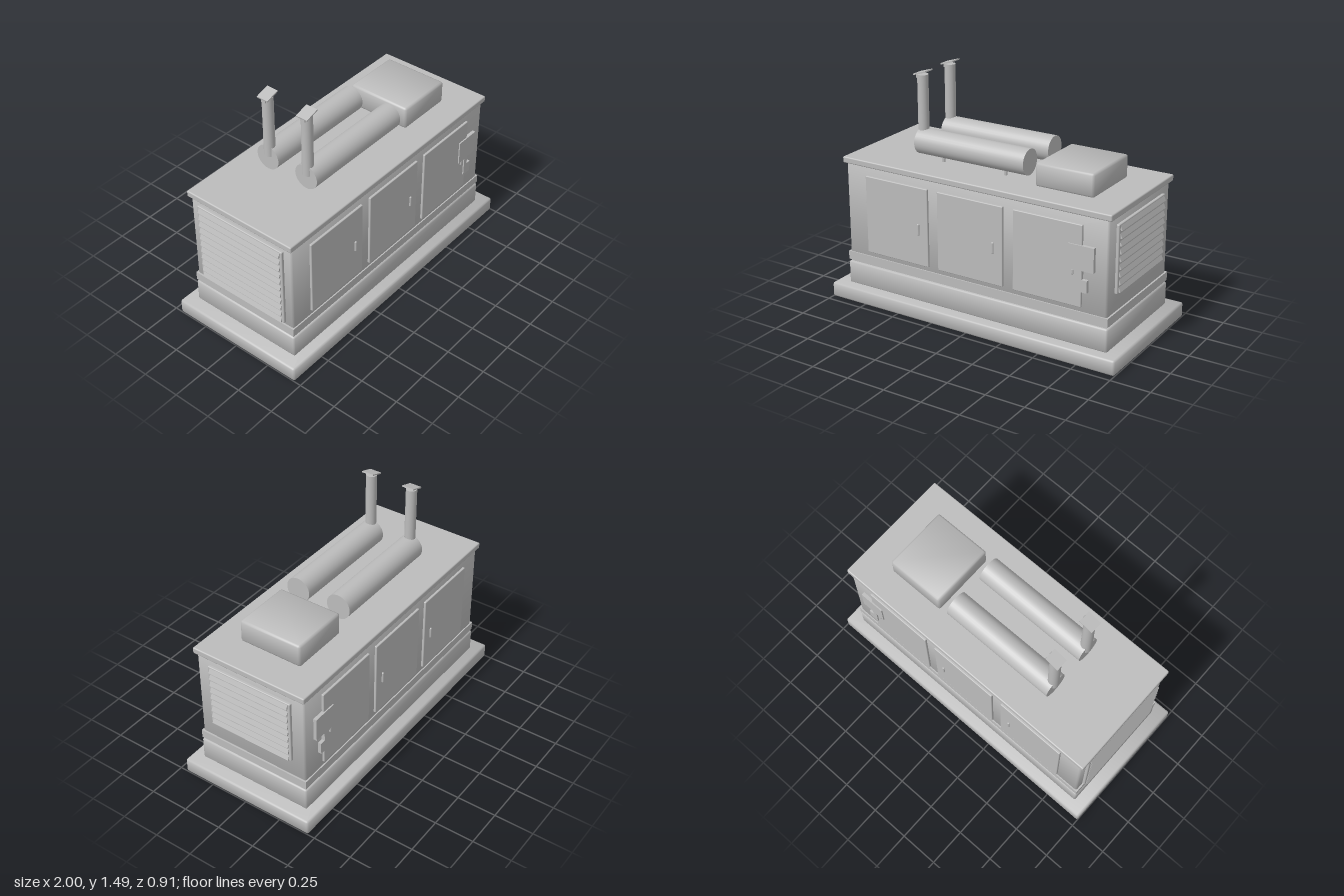
import * as THREE from 'three';
import { RoundedBoxGeometry } from 'three/addons/geometries/RoundedBoxGeometry.js';

export function createModel() {
  const model = new THREE.Group();
  model.name = 'generator';
  const paint = new THREE.MeshStandardMaterial({ color: 0xbcbcbc });
  paint.name = 'grey paint';

  function add(name, geometry, x = 0, y = 0, z = 0, parent = model) {
    const mesh = new THREE.Mesh(geometry, paint);
    mesh.name = name;
    mesh.position.set(x, y, z);
    parent.add(mesh);
    return mesh;
  }

  // Box given by its limits on each axis
  function box(name, x0, x1, y0, y1, z0, z1, parent = model) {
    return add(name, new THREE.BoxGeometry(x1 - x0, y1 - y0, z1 - z0),
      (x0 + x1) / 2, (y0 + y1) / 2, (z0 + z1) / 2, parent);
  }

  // Bevelled box whose normals lean outward at the corners, for soft shading
  function softBox(name, x0, x1, y0, y1, halfZ, bevel) {
    const g = new RoundedBoxGeometry(x1 - x0, y1 - y0, halfZ * 2, 1, bevel);
    const p = g.attributes.position, n = g.attributes.normal;
    const v = new THREE.Vector3();
    for (let i = 0; i < p.count; i++) {
      v.fromBufferAttribute(n, i);
      v.x += 0.5 * Math.sign(p.getX(i));
      v.y += 0.5 * Math.sign(p.getY(i));
      v.z += 0.5 * Math.sign(p.getZ(i));
      v.normalize();
      n.setXYZ(i, v.x, v.y, v.z);
    }
    return add(name, g, (x0 + x1) / 2, (y0 + y1) / 2, 0);
  }

  // Stepped base, housing and roof
  softBox('basePlate', -1, 1, 0, 0.095, 0.455, 0.012);
  softBox('plinth', -0.915, 0.915, 0.09, 0.238, 0.385, 0.01);
  box('plinthGap', -0.9, 0.9, 0.23, 0.26, -0.37, 0.37);
  box('skidRail', -0.915, 0.915, 0.25, 0.305, -0.383, 0.383);
  softBox('housing', -0.905, 0.905, 0.295, 0.9, 0.376, 0.012);
  add('roof', new RoundedBoxGeometry(1.85, 0.04, 0.78, 2, 0.008), 0, 0.91, 0);

  // Doors, handles and control panel; the back is the mirror of the front
  const handle = new THREE.CapsuleGeometry(0.008, 0.06, 4, 10);
  const smallHandle = new THREE.CapsuleGeometry(0.007, 0.022, 4, 10);
  const panelShape = new THREE.Shape([
    [0.66, 0.56], [0.72, 0.56], [0.72, 0.435], [0.785, 0.435], [0.785, 0.51],
    [0.75, 0.51], [0.75, 0.565], [0.825, 0.565], [0.825, 0.715], [0.66, 0.715],
  ].map(([x, y]) => new THREE.Vector2(x, y)));
  for (const side of [1, -1]) {
    const wall = new THREE.Group();
    wall.name = side > 0 ? 'frontDoors' : 'backDoors';
    model.add(wall);
    const doors = [[-0.755, -0.3], [-0.23, 0.225], [0.295, 0.745]];
    for (const [x0, x1] of doors) {
      add('door', new RoundedBoxGeometry(x1 - x0, 0.5, 0.03, 2, 0.005),
        (x0 + x1) / 2, 0.585, side * 0.375, wall);
    }
    for (const x of [-0.367, 0.16]) add('doorHandle', handle, x, 0.568, side * 0.392, wall);
    add('latch', smallHandle, 0.69, 0.547, side * 0.393, wall);
    const panel = new THREE.ExtrudeGeometry(panelShape, { depth: 0.025, bevelEnabled: false });
    add('controlPanel', panel, 0, 0, side > 0 ? 0.373 : -0.398, wall);
  }

  // Louvred grilles on both ends
  function grille(side, y0, y1, halfZ, count) {
    const group = new THREE.Group();
    group.name = side > 0 ? 'leftGrille' : 'rightGrille';
    model.add(group);
    add('grillePlate', new RoundedBoxGeometry(0.04, y1 - y0, halfZ * 2, 2, 0.006),
      side * 0.902, (y0 + y1) / 2, 0, group);
    const step = (y1 - y0) / count;
    for (let i = 0; i < count; i++) {
      const slat = add('slat', new THREE.BoxGeometry(0.01, step * 0.7, halfZ * 2 - 0.03),
        side * 0.923, y0 + (i + 0.5) * step, 0, group);
      slat.rotation.z = side * 0.4;
    }
  }
  grille(1, 0.42, 0.84, 0.29, 9);
  grille(-1, 0.32, 0.855, 0.32, 11);

  // Air intake hood on the roof
  softBox('intakeHood', 0.335, 0.715, 0.925, 1.07, 0.21, 0.014);

  // Twin mufflers with feet, exhaust stacks and tilted rain caps
  const drum = new THREE.CylinderGeometry(0.08, 0.08, 0.765, 32).rotateZ(Math.PI / 2);
  const stack = new THREE.CylinderGeometry(0.034, 0.034, 0.4, 24);
  const foot = new THREE.CylinderGeometry(0.011, 0.011, 0.07, 12);
  for (const z of [0.143, -0.143]) {
    const exhaust = new THREE.Group();
    exhaust.name = 'exhaust';
    exhaust.position.z = z;
    model.add(exhaust);
    add('muffler', drum, -0.1225, 1.04, 0, exhaust);
    for (const x of [-0.345, 0.095]) add('mufflerFoot', foot, x, 0.95, 0, exhaust);
    add('exhaustStack', stack, -0.487, 1.255, 0, exhaust);
    box('capHinge', -0.525, -0.515, 1.43, 1.46, -0.015, 0.015, exhaust);
    const cap = add('rainCap', new THREE.BoxGeometry(0.092, 0.008, 0.078), -0.487, 1.468, 0, exhaust);
    cap.rotation.z = 0.3;
  }

  return model;
}
